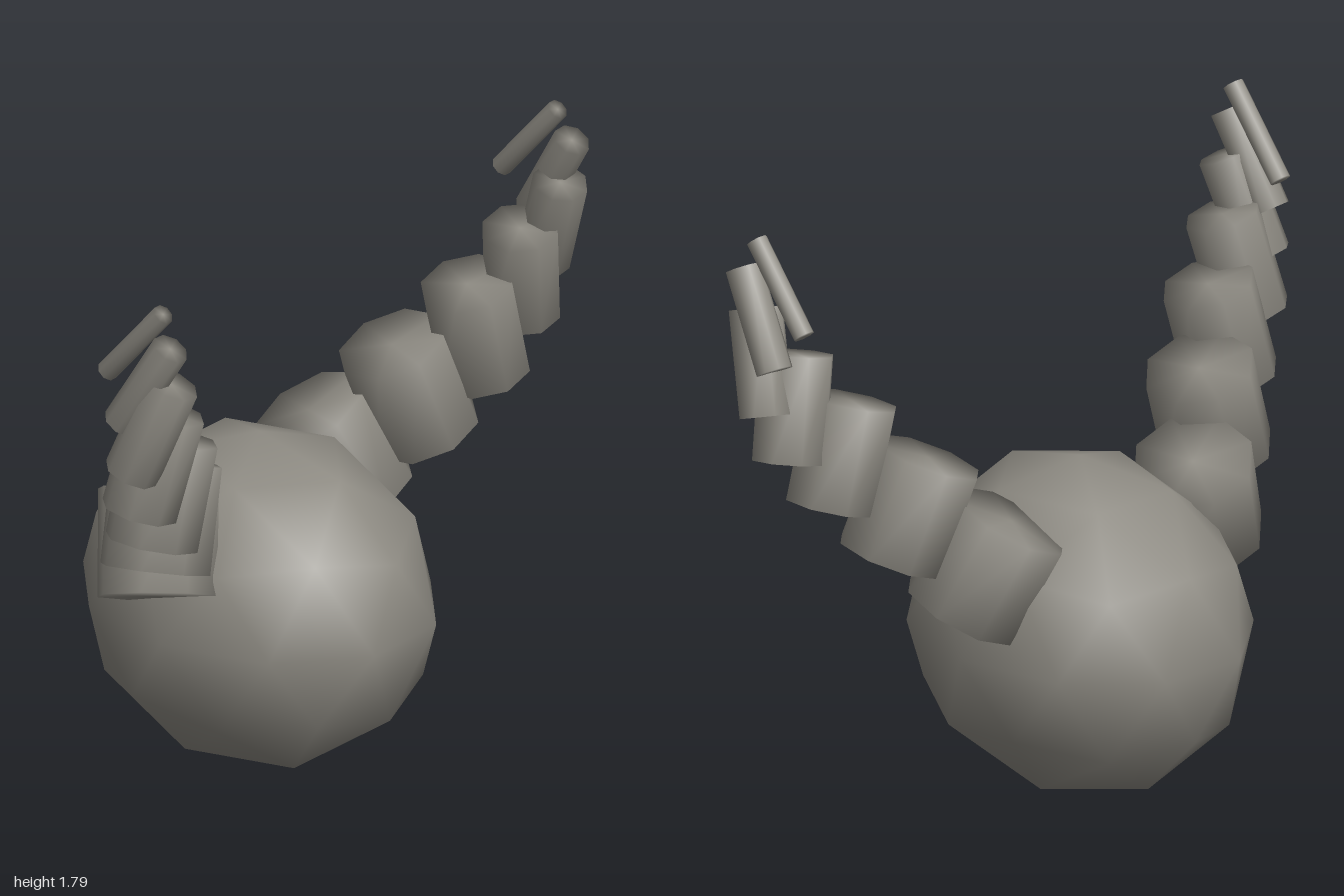
import * as THREE from 'three';
import { mergeVertices } from 'three/addons/utils/BufferGeometryUtils.js';

const stone = new THREE.MeshStandardMaterial({ color: 0x8d8a82 });
stone.name = 'warm grey';

// Arm segments, root to tip: centre x, y, z, radius, sideways lean, inward lean (degrees)
const SEGMENTS = [
  [-0.05, 0.78, 0.395, 0.175, -18, 23],
  [0.09, 0.96, 0.557, 0.16, -8, 20],
  [0.21, 1.125, 0.706, 0.135, 1, 16],
  [0.277, 1.275, 0.828, 0.11, 9, 13],
  [0.328, 1.415, 0.9, 0.08, 20, 10],
  [0.32, 1.55, 0.915, 0.054, 31, 5],
  [0.26, 1.655, 0.888, 0.031, 41, 0],
];
const LENGTH = 0.305;

// Eight-sided drum, shaded smoothly across its rims
function drum(radius) {
  const geo = new THREE.CylinderGeometry(radius, radius, LENGTH, 8, 1, false, Math.PI / 8);
  geo.deleteAttribute('uv');
  geo.deleteAttribute('normal');
  const smooth = mergeVertices(geo);
  smooth.computeVertexNormals();
  return smooth;
}

// One curling arm; side is +1 for the front arm and -1 for the back arm
function createArm(name, side) {
  const arm = new THREE.Group();
  arm.name = name;
  const up = new THREE.Vector3(0, 1, 0);
  SEGMENTS.forEach(([x, y, z, radius, lean, inward], i) => {
    const segment = new THREE.Mesh(drum(radius), stone);
    segment.name = `${name}Segment${i + 1}`;
    const dir = new THREE.Vector3(
      Math.tan(THREE.MathUtils.degToRad(lean)),
      1,
      -side * Math.tan(THREE.MathUtils.degToRad(inward)),
    ).normalize();
    segment.quaternion.setFromUnitVectors(up, dir);
    segment.position.set(x, y, side * z);
    arm.add(segment);
  });
  return arm;
}

export function createModel() {
  const model = new THREE.Group();
  model.name = 'armedBoulder';

  // Faceted egg-shaped body with a vertex at the top
  const ball = new THREE.IcosahedronGeometry(1, 1);
  ball.rotateZ(-Math.atan(2 / (1 + Math.sqrt(5))));
  ball.scale(0.547, 0.498, 0.45);
  const body = new THREE.Mesh(ball, stone);
  body.name = 'body';
  body.position.y = 0.498;
  model.add(body);

  model.add(createArm('frontArm', 1), createArm('backArm', -1));
  return model;
}
